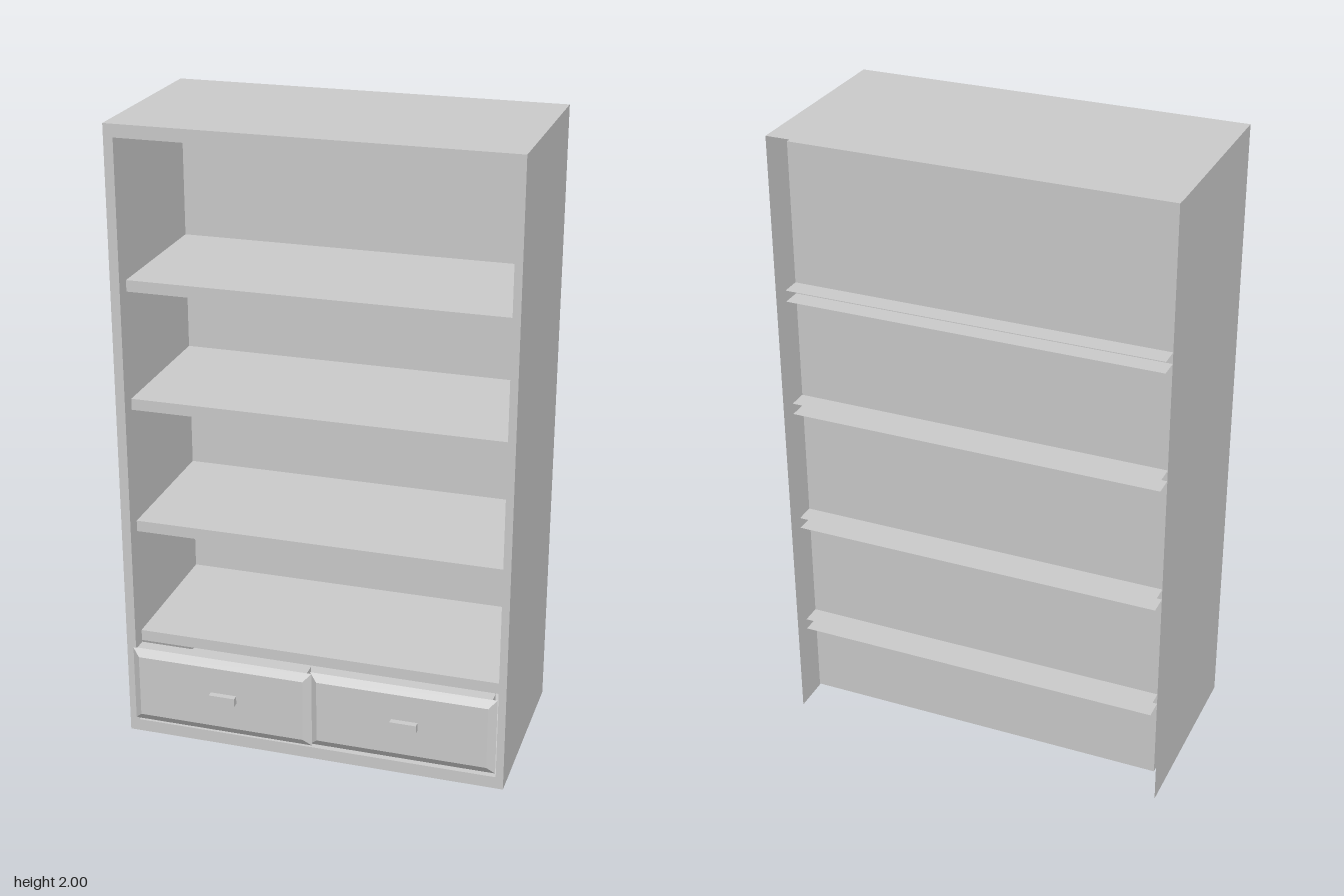
import * as THREE from 'three';

const material = new THREE.MeshStandardMaterial({ color: 0xcccccc, side: THREE.DoubleSide, flatShading: true });

// Outer shell and inner compartment limits
const W = 0.617, H = 2, FRONT = 0.29, BACK = -0.327;
const L = -0.587, R = 0.593, FLOOR = 0.04, CEIL = 1.96, PANEL = -0.25;

function add(parent, name, geometry, x = 0, y = 0, z = 0) {
  const mesh = new THREE.Mesh(geometry, material);
  mesh.name = name;
  mesh.position.set(x, y, z);
  parent.add(mesh);
  return mesh;
}

// Thin sheets, each spanning two axes
function sideSheet(parent, name, x, y0, y1, z0, z1) {
  const g = new THREE.PlaneGeometry(z1 - z0, y1 - y0).rotateY(x < 0 ? -Math.PI / 2 : Math.PI / 2);
  return add(parent, name, g, x, (y0 + y1) / 2, (z0 + z1) / 2);
}
function levelSheet(parent, name, y, x0, x1, z0, z1) {
  const g = new THREE.PlaneGeometry(x1 - x0, z1 - z0).rotateX(-Math.PI / 2);
  return add(parent, name, g, (x0 + x1) / 2, y, (z0 + z1) / 2);
}
function frontSheet(parent, name, z, x0, x1, y0, y1) {
  return add(parent, name, new THREE.PlaneGeometry(x1 - x0, y1 - y0), (x0 + x1) / 2, (y0 + y1) / 2, z);
}

// Box whose front face is pulled in by an inset on every side
function bevelledBox(w, h, d, inset) {
  const g = new THREE.BoxGeometry(w, h, d);
  const p = g.attributes.position;
  for (let i = 0; i < p.count; i++) {
    if (p.getZ(i) > 0) {
      p.setX(i, p.getX(i) - Math.sign(p.getX(i)) * inset);
      p.setY(i, p.getY(i) - Math.sign(p.getY(i)) * inset);
    }
  }
  g.computeVertexNormals();
  return g;
}

function makeCase() {
  const group = new THREE.Group();
  group.name = 'case';
  // Outer shell, open at the back and bottom
  for (const s of [-1, 1]) sideSheet(group, s < 0 ? 'rightSide' : 'leftSide', s * W, 0, H, BACK, FRONT);
  levelSheet(group, 'top', H, -W, W, BACK, FRONT);

  // Face frame around the opening
  const face = new THREE.Shape([[-W, 0], [W, 0], [W, H], [-W, H]].map(p => new THREE.Vector2(...p)));
  face.holes.push(new THREE.Path([[L, FLOOR], [L, CEIL], [R, CEIL], [R, FLOOR]].map(p => new THREE.Vector2(...p))));
  add(group, 'faceFrame', new THREE.ShapeGeometry(face), 0, 0, FRONT);

  // Inner lining
  sideSheet(group, 'innerRightWall', L, FLOOR, CEIL, PANEL, FRONT);
  sideSheet(group, 'innerLeftWall', R, FLOOR, CEIL, PANEL, FRONT);
  levelSheet(group, 'floor', FLOOR, L, R, PANEL, FRONT);
  levelSheet(group, 'ceiling', CEIL, L, R, PANEL, FRONT);
  frontSheet(group, 'backPanel', PANEL, L, R, FLOOR, CEIL);
  return group;
}

// Hollow shelf: top, underside and front edge, running through the back panel
function makeShelf(y) {
  const group = new THREE.Group();
  group.name = 'shelf';
  const thick = 0.036, z0 = -0.312, z1 = 0.24;
  levelSheet(group, 'shelfTop', y + thick, L, R, z0, z1);
  levelSheet(group, 'shelfUnderside', y, L, R, z0, z1);
  frontSheet(group, 'shelfEdge', z1, L, R, y, y + thick);
  return group;
}

// Drawer front with bevelled border and block handle
function makeDrawer(x, z) {
  const group = new THREE.Group();
  group.name = 'drawer';
  const w = 0.597, h = 0.258, bevel = 0.016;
  add(group, 'drawerFront', bevelledBox(w, h, bevel, 0.025), 0, 0, -bevel / 2);
  add(group, 'drawerBody', new THREE.BoxGeometry(w - 0.03, h, 0.04), 0, 0, -bevel - 0.02);
  add(group, 'handle', new THREE.BoxGeometry(0.085, 0.027, 0.02), 0.011, 0.003, 0.01);
  group.position.set(x, 0.175, z);
  return group;
}

export function createModel() {
  const model = new THREE.Group();
  model.name = 'bookcase';
  model.add(makeCase());
  for (const y of [0.305, 0.692, 1.102, 1.481]) model.add(makeShelf(y));
  // One drawer stands slightly further out than the other
  model.add(makeDrawer(-0.299, 0.305), makeDrawer(0.29, 0.295));
  return model;
}
